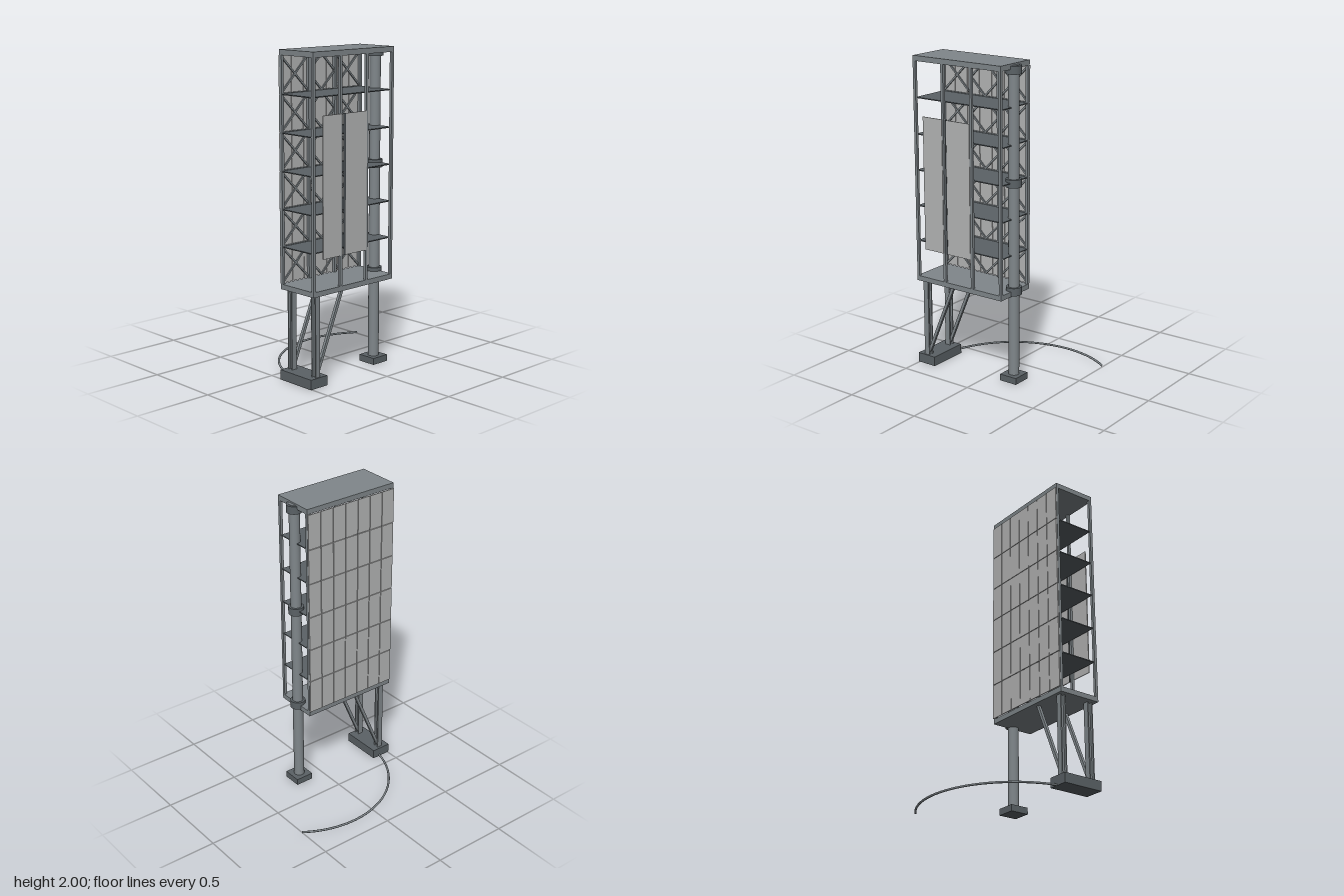
import * as THREE from 'three';

export function createModel() {
  const root = new THREE.Group();
  const steel = new THREE.MeshStandardMaterial({ color: 0x80878b });
  steel.name = 'steel grey';
  const dark = new THREE.MeshStandardMaterial({ color: 0x5b6266 });
  dark.name = 'dark grey';
  const pale = new THREE.MeshStandardMaterial({ color: 0xb5b6b6 });
  pale.name = 'pale panel grey';

  const add = (name, geo, mat, parent = root) => {
    const m = new THREE.Mesh(geo, mat);
    m.name = name;
    parent.add(m);
    return m;
  };
  // box given by its min and max on each axis
  const box = (name, x0, x1, y0, y1, z0, z1, mat, parent) => {
    const m = add(name, new THREE.BoxGeometry(x1 - x0, y1 - y0, z1 - z0), mat, parent);
    m.position.set((x0 + x1) / 2, (y0 + y1) / 2, (z0 + z1) / 2);
    return m;
  };
  // square bar between two points in a plane of constant z
  const bar = (name, x0, y0, x1, y1, z, w, d, parent) => {
    const m = add(name, new THREE.BoxGeometry(Math.hypot(x1 - x0, y1 - y0), w, d), steel, parent);
    m.position.set((x0 + x1) / 2, (y0 + y1) / 2, z);
    m.rotation.z = Math.atan2(y1 - y0, x1 - x0);
  };

  const L = -0.494, R = 0.17, B = 0.085, F = 0.373;
  const y0 = 0.597, y1 = 1.967, storey = (y1 - y0) / 6;

  // top and bottom slabs
  box('roofSlab', L, R, y1, 2, B, F, steel);
  box('baseSlab', L, R, 0.565, y0, B, F, steel);

  // uprights at four column lines, front and back
  const t = 0.018, step = (R - L - t) / 3;
  const cols = [0, 1, 2, 3].map(i => L + t / 2 + i * step);
  const frame = new THREE.Group();
  frame.name = 'frame';
  root.add(frame);
  for (const x of cols) {
    box('frontUpright', x - t / 2, x + t / 2, y0, y1, F - t, F, steel, frame);
    box('backUpright', x - t / 2, x + t / 2, y0, y1, B, B + t, steel, frame);
  }

  // floors with back rails
  for (let i = 1; i < 6; i++) {
    const y = y0 + i * storey;
    box('floor', L + 0.004, R - 0.004, y - 0.003, y + 0.003, B + 0.014, F - t, dark);
    box('backRail', L + t, R - t, y - 0.007, y + 0.007, B + 0.001, B + 0.013, steel, frame);
  }

  // back bracing: crosses in the outer bays, diamonds in the middle bay
  const bracing = new THREE.Group();
  bracing.name = 'backBracing';
  root.add(bracing);
  for (let i = 0; i < 6; i++) {
    const a = y0 + i * storey + 0.006, b = a + storey - 0.012, m = (a + b) / 2;
    const brace = (...p) => bar('brace', ...p, B + 0.006, 0.011, 0.008, bracing);
    for (const k of [0, 2]) {
      brace(cols[k], a, cols[k + 1], b);
      brace(cols[k], b, cols[k + 1], a);
    }
    const c = (cols[1] + cols[2]) / 2;
    for (const x of [cols[1], cols[2]]) for (const y of [a, b]) brace(x, m, c, y);
  }

  // back cladding, seven by six panels with narrow gaps
  const cladding = new THREE.Group();
  cladding.name = 'backCladding';
  root.add(cladding);
  const pw = (R - L) / 7, g = 0.002;
  for (let i = 0; i < 7; i++) {
    for (let j = 0; j < 6; j++) {
      const x = L + i * pw, y = y0 + j * storey;
      box('backPanel', x + g, x + pw - g, y + g, y + storey - g, 0.077, B - 0.001, pale, cladding);
    }
  }

  // front panels and the dark strip beside the right one
  box('frontPanel', -0.42, -0.272, 0.785, 1.632, F - 0.002, F + 0.004, pale);
  box('frontPanel', -0.238, -0.062, 0.785, 1.632, F - 0.002, F + 0.004, pale);
  box('frontStrip', -0.244, -0.238, 0.785, 1.632, F - 0.008, F + 0.005, dark);

  // round pivot pole with collars and foot
  const px = 0.158, pz = 0.228;
  add('pole', new THREE.CylinderGeometry(0.034, 0.034, 1.95, 24), steel).position.set(px, 1.015, pz);
  for (const y of [0.595, 1.278, 1.962]) {
    add('collar', new THREE.CylinderGeometry(0.049, 0.049, 0.05, 24), dark).position.set(px, y, pz);
  }
  box('poleFoot', px - 0.061, px + 0.061, 0, 0.042, pz - 0.062, pz + 0.062, dark);

  // pair of H-section legs with diagonal struts on a shared foot
  box('legFoot', -0.507, -0.375, 0, 0.062, 0.09, 0.363, dark);
  for (const z of [0.127, 0.335]) {
    const leg = new THREE.Group();
    leg.name = 'leg';
    root.add(leg);
    for (const s of [-1, 1]) {
      const c = z + s * 0.0155;
      box('flange', -0.461, -0.425, 0.06, 0.566, c - 0.004, c + 0.004, steel, leg);
    }
    box('web', -0.447, -0.439, 0.06, 0.566, z - 0.013, z + 0.013, steel, leg);
    bar('strut', -0.432, 0.085, -0.228, 0.57, z, 0.019, 0.018, leg);
  }

  // curved ground rail around the pole
  const pts = [];
  for (let i = 0; i <= 24; i++) {
    const a = Math.PI * (1 - (i / 24) * 0.695);
    pts.push(new THREE.Vector3(px + 0.6 * Math.cos(a), 0.007, pz - 0.6 * Math.sin(a)));
  }
  add('groundRail', new THREE.TubeGeometry(new THREE.CatmullRomCurve3(pts), 64, 0.007, 8), steel);

  return root;
}
